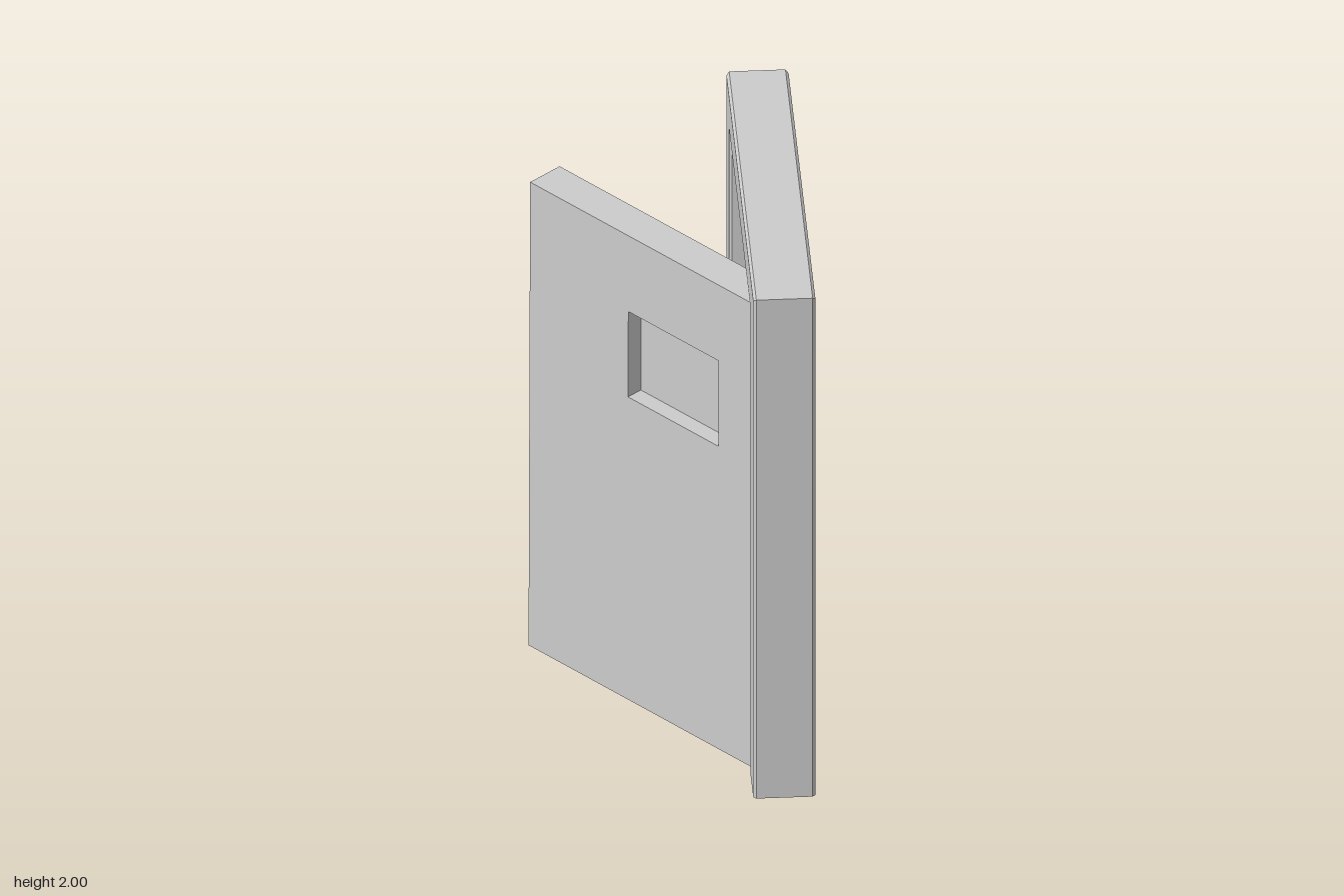
import * as THREE from 'three';

const mat = new THREE.MeshStandardMaterial({ color: 0xcccccc, flatShading: true });
const openMat = new THREE.MeshStandardMaterial({ color: 0xcccccc, flatShading: true, side: THREE.DoubleSide });

function add(parent, name, geometry, material = mat) {
  const mesh = new THREE.Mesh(geometry, material);
  mesh.name = name;
  parent.add(mesh);
  return mesh;
}

// Door space: u runs from the free edge to the hinge (local -x), y up, w out of the back face (local +z)
function block(u0, u1, y0, y1, w0, w1) {
  return new THREE.BoxGeometry(u1 - u0, y1 - y0, w1 - w0)
    .translate(-(u0 + u1) / 2, (y0 + y1) / 2, (w0 + w1) / 2);
}

function trace(path, u0, u1, y0, y1) {
  path.moveTo(-u1, y0);
  path.lineTo(-u0, y0);
  path.lineTo(-u0, y1);
  path.lineTo(-u1, y1);
  path.closePath();
  return path;
}

// Rectangular slab with a rectangular opening
function piercedSlab(outer, hole, w0, w1) {
  const shape = trace(new THREE.Shape(), ...outer);
  shape.holes.push(trace(new THREE.Path(), ...hole));
  return new THREE.ExtrudeGeometry(shape, { depth: w1 - w0, bevelEnabled: false }).translate(0, 0, w0);
}

// Chamfered section carried up one post, across the lintel and down the other post
function frameGeometry() {
  const c = 0.01, D = 0.15, x0 = 0.24, x1 = 0.45;
  const section = [
    [0, x0 + c], [0, x1 - c], [c, x1], [D - c, x1],
    [D, x1 - c], [D, x0 + c], [D - c, x0], [c, x0],
  ];
  const n = section.length, pos = [], index = [];
  for (const [side, top] of [[1, 0], [1, 1], [-1, 1], [-1, 0]]) {
    for (const [d, x] of section) pos.push(x, top * (2 - d * 0.93), side * (0.71 - d));
  }
  for (let r = 0; r < 3; r++) {
    for (let i = 0; i < n; i++) {
      const a = r * n + i, b = r * n + (i + 1) % n;
      index.push(a, b, a + n, b, b + n, a + n);
    }
  }
  const g = new THREE.BufferGeometry();
  g.setAttribute('position', new THREE.Float32BufferAttribute(pos, 3));
  g.setIndex(index);
  const flat = g.toNonIndexed();
  flat.computeVertexNormals();
  return flat;
}

export function createModel() {
  const model = new THREE.Group();
  model.name = 'openDoor';
  add(model, 'doorFrame', frameGeometry(), openMat);

  // Door leaf, swung open and leaning very slightly
  const door = new THREE.Group();
  door.name = 'door';
  door.rotation.order = 'YXZ';
  door.rotation.set(0.004, Math.PI - 0.8526, 0);
  door.position.set(-0.349, 0, -0.379);
  model.add(door);
  add(door, 'doorLeaf', piercedSlab([0, 1.128, 0, 1.855], [0.47, 0.902, 1.21, 1.552], -0.14, 0));

  // Hatch panel: recessed at the front, raised at the back
  add(door, 'hatchPanel', block(0.471, 0.901, 1.211, 1.551, -0.08, 0));
  add(door, 'hatchCover', block(0.484, 0.905, 1.22, 1.545, -0.02, 0.036));

  // Sliding bolt held by two U-shaped brackets
  const bolt = new THREE.Group();
  bolt.name = 'slidingBolt';
  door.add(bolt);
  add(bolt, 'boltBar', block(0.09, 0.686, 0.925, 0.99, 0.037, 0.097));
  for (const [u0, u1] of [[0.108, 0.155], [0.35, 0.403]]) {
    const bracket = new THREE.Group();
    bracket.name = 'boltBracket';
    add(bracket, 'bracketFace', block(u0, u1, 0.895, 1.02, 0.097, 0.115));
    add(bracket, 'bracketLowerLeg', block(u0, u1, 0.895, 0.92, 0, 0.097));
    add(bracket, 'bracketUpperLeg', block(u0, u1, 0.995, 1.02, 0, 0.097));
    bolt.add(bracket);
  }

  // Hasp hanging from the bolt over a staple
  add(bolt, 'hasp', piercedSlab([0.18, 0.293, 0.715, 0.93], [0.22, 0.27, 0.733, 0.825], 0.055, 0.08));
  add(door, 'staplePlate', block(0.175, 0.318, 0.66, 0.84, 0, 0.014));
  const staple = new THREE.Group();
  staple.name = 'staple';
  door.add(staple);
  add(staple, 'stapleLowerArm', block(0.235, 0.255, 0.735, 0.753, 0, 0.13));
  add(staple, 'stapleUpperArm', block(0.235, 0.255, 0.802, 0.82, 0, 0.13));
  add(staple, 'stapleEnd', block(0.235, 0.255, 0.735, 0.82, 0.13, 0.148));

  return model;
}
